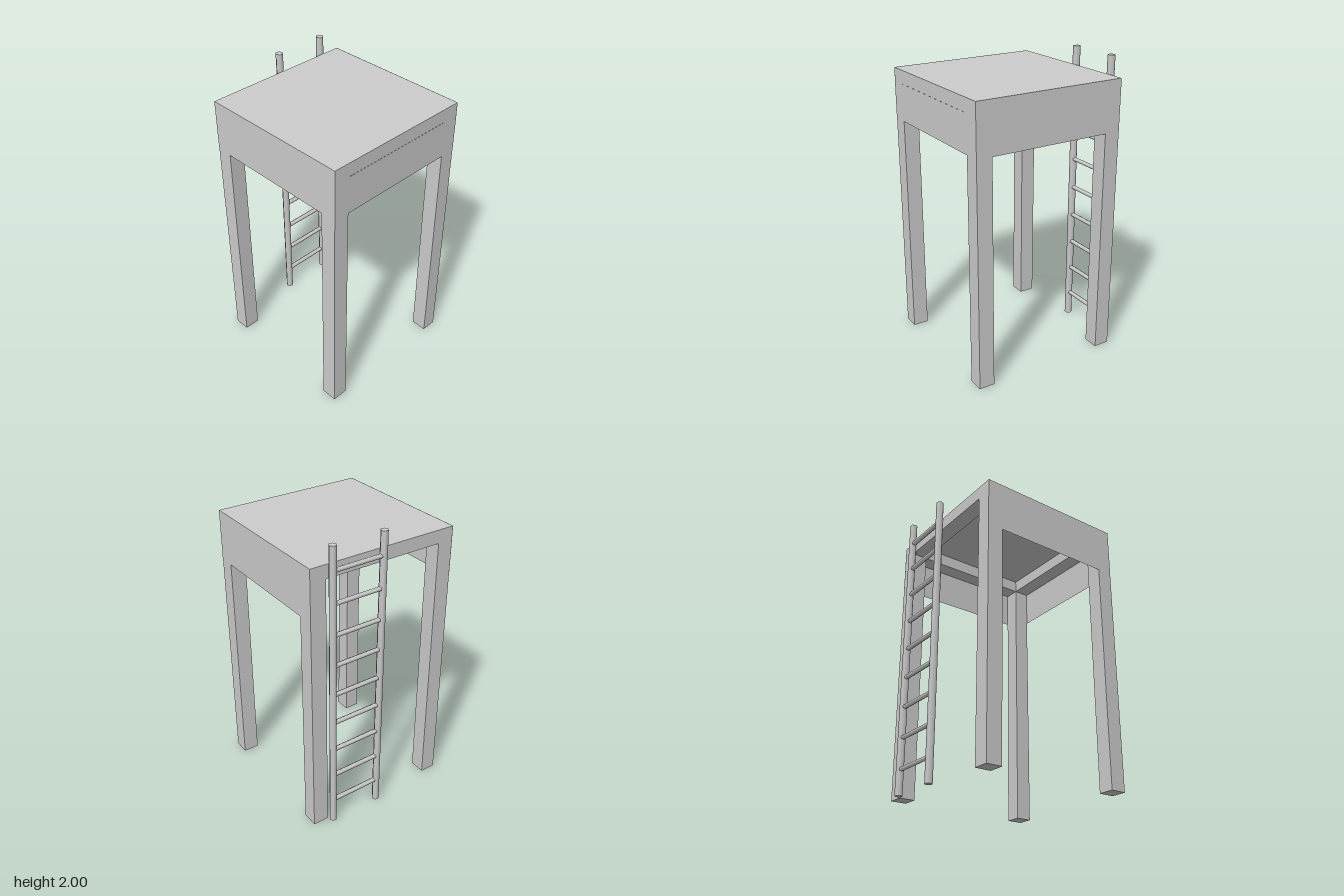
import * as THREE from 'three';

const grey = new THREE.MeshStandardMaterial({ color: 0xcccccc });
const thin = new THREE.MeshStandardMaterial({ color: 0xcccccc, side: THREE.DoubleSide });

export function createModel() {
  const model = new THREE.Group();
  const add = (name, geometry, x, y, z, material = grey) => {
    const mesh = new THREE.Mesh(geometry, material);
    mesh.name = name;
    mesh.position.set(x, y, z);
    model.add(mesh);
    return mesh;
  };

  const cx = 0.02;        // the platform sits beside the ladder
  const half = 0.52;      // half width of the platform
  const post = 0.107;     // post and beam width
  const top = 1.88, beamY = 1.79, skirtY = 1.54;
  const off = half - post / 2;

  // Four corner legs up to the beams
  for (const sx of [-1, 1]) for (const sz of [-1, 1])
    add('leg', new THREE.BoxGeometry(post, beamY, post), cx + sx * off, beamY / 2, sz * off);

  // Beam frame with a thin deck closing its top
  const beamH = top - beamY;
  for (const s of [-1, 1]) {
    add('sideBeam', new THREE.BoxGeometry(post, beamH, 2 * half), cx + s * off, beamY + beamH / 2, 0);
    add('crossBeam', new THREE.BoxGeometry(2 * (half - post), beamH, post), cx, beamY + beamH / 2, s * off);
  }
  const inner = 2 * (half - post);
  add('deck', new THREE.BoxGeometry(inner, 0.006, inner), cx, top - 0.003, 0);

  // Thin skirts on three sides; the ladder side stays open
  const skirt = (name, x, z, turn, y1) => {
    const panel = add(name, new THREE.PlaneGeometry(2 * half, y1 - skirtY), x, (skirtY + y1) / 2, z, thin);
    panel.rotation.y = turn;
  };
  skirt('frontSkirt', cx, half + 0.001, 0, top);
  skirt('backSkirt', cx, -half - 0.001, Math.PI, top);
  skirt('leftSkirt', cx + half + 0.001, 0, Math.PI / 2, beamY);

  // Ladder: two six-sided rails and nine rungs
  const ladderX = -0.525, z0 = -0.03, z1 = -0.385;
  for (const z of [z0, z1])
    add('ladderRail', new THREE.CylinderGeometry(0.025, 0.025, 2, 6), ladderX, 1, z);
  for (let i = 0; i < 9; i++) {
    const rung = add('ladderRung', new THREE.CylinderGeometry(0.016, 0.016, z0 - z1 - 0.03, 6),
      ladderX, 0.17 + i * 0.209, (z0 + z1) / 2);
    rung.rotation.x = Math.PI / 2;
  }

  return model;
}
